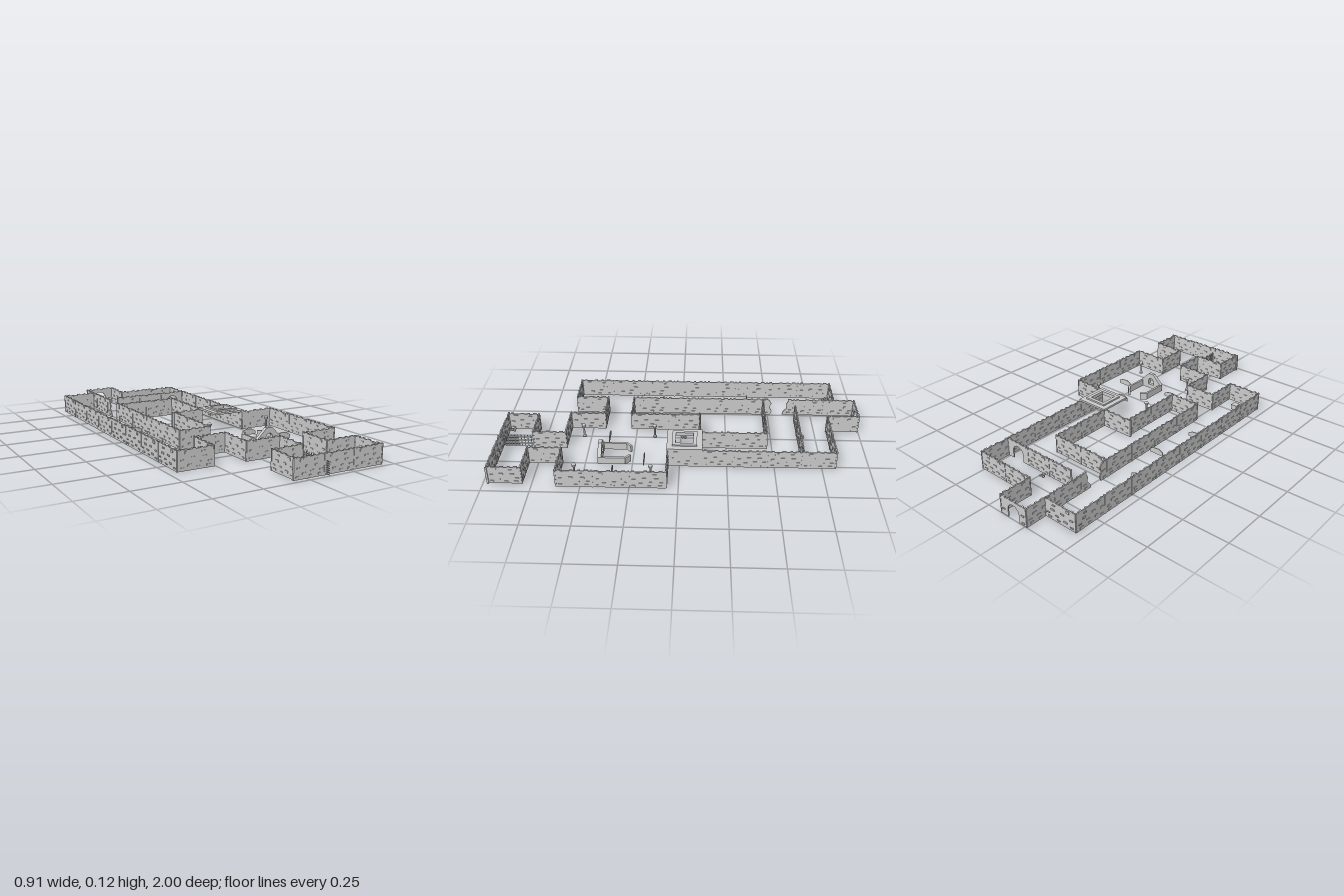
import * as THREE from 'three';

const mat = new THREE.MeshStandardMaterial({ color: 0xcccccc, flatShading: true, side: THREE.DoubleSide });
const H = 0.1, T = 0.006;

function add(parent, name, geo, x = 0, y = 0, z = 0, ry = 0) {
  const m = new THREE.Mesh(geo, mat);
  m.name = name;
  m.position.set(x, y, z);
  m.rotation.y = ry;
  parent.add(m);
  return m;
}
const box = (w, h, d) => new THREE.BoxGeometry(w, h, d);

// upright plate cut from a 2D shape, centred on its thickness
function plate(points, depth, hole) {
  const s = new THREE.Shape(points.map(p => new THREE.Vector2(...p)));
  if (hole) s.holes.push(hole);
  return new THREE.ExtrudeGeometry(s, { depth, bevelEnabled: false, curveSegments: 8 }).translate(0, 0, -depth / 2);
}

// raised bricks: position along the panel (fraction), height, width, brick height
const BRICKS = [
  [-0.26, 0.088, 0.02, 0.012], [-0.37, 0.052, 0.018, 0.008], [-0.08, 0.06, 0.02, 0.008],
  [0.24, 0.058, 0.022, 0.009], [0.1, 0.035, 0.02, 0.006], [-0.18, 0.026, 0.02, 0.009],
  [0.34, 0.014, 0.02, 0.009], [-0.38, 0.014, 0.018, 0.007], [0.38, 0.034, 0.018, 0.006],
  [0.05, 0.014, 0.018, 0.006], [0.2, 0.084, 0.018, 0.007]
];
const CAPS = [[-0.38, 0.012], [-0.05, 0.018], [0.16, 0.012], [0.36, 0.02]];

// one wall panel, running along its own x
function panel(len, kind) {
  const g = new THREE.Group();
  g.name = kind + 'WallPanel';
  const a = len / 2;
  if (kind === 'arch') {
    const r = 0.037;
    const pts = [[-a, 0], [-r, 0], [-r, 0.043]];
    for (let i = 1; i <= 10; i++) {
      const t = Math.PI * (1 - i / 10);
      pts.push([r * Math.cos(t), 0.043 + r * Math.sin(t)]);
    }
    pts.push([r, 0], [a, 0], [a, H], [-a, H]);
    add(g, 'archedWall', plate(pts, T));
  } else if (kind === 'broken') {
    add(g, 'brokenWall', plate([[-a, 0], [-0.045, 0], [-0.036, 0.025], [-0.05, 0.05], [-0.04, 0.075], [-0.055, H], [-a, H]], T));
    add(g, 'brokenWall', plate([[a, 0], [a, H], [0.06, H], [0.045, 0.07], [0.05, 0.045], [0.03, 0.02], [0.025, 0]], T));
  } else {
    add(g, 'wall', box(len, H, T), 0, H / 2);
  }
  for (const [u, y, w, h] of BRICKS)
    if (kind === 'plain' || Math.abs(u * len) > 0.058) add(g, 'brick', box(w, h, T + 0.006), u * len, y, 0);
  for (const [u, w] of CAPS)
    if (kind !== 'broken' || Math.abs(u * len) > 0.058) add(g, 'topStone', box(w, 0.008, T + 0.002), u * len, H + 0.001, 0);
  for (const s of [-1, 1]) add(g, 'seamPost', box(0.005, 0.104, T + 0.004), s * (a - 0.001), 0.052, 0);
  return g;
}

// straight run split into equal panels; special = {panelIndex: kind}
function run(parent, x1, z1, x2, z2, special = {}) {
  const L = Math.hypot(x2 - x1, z2 - z1), n = Math.max(1, Math.round(L / 0.176));
  for (let i = 0; i < n; i++) {
    const t = (i + 0.5) / n;
    const p = panel(L / n, special[i] || 'plain');
    p.position.set(x1 + (x2 - x1) * t, 0, z1 + (z2 - z1) * t);
    if (x1 === x2) p.rotation.y = Math.PI / 2;
    parent.add(p);
  }
}

export function createModel() {
  const model = new THREE.Group();
  model.name = 'dungeonWalls';
  const walls = new THREE.Group();
  walls.name = 'walls';
  model.add(walls);

  // long corridor
  run(walls, -0.452, -0.88, -0.452, 0.612);
  run(walls, -0.452, -0.88, -0.26, -0.88);
  run(walls, -0.452, 0.612, -0.26, 0.612);
  run(walls, -0.26, -0.995, -0.26, -0.65);
  run(walls, -0.26, -0.65, -0.26, -0.47, { 0: 'broken' });
  run(walls, -0.26, -0.47, -0.26, 0.28);
  run(walls, -0.26, 0.43, -0.26, 0.612);
  // back rooms
  run(walls, -0.26, -0.995, -0.09, -0.995, { 0: 'arch' });
  run(walls, -0.09, -0.995, -0.09, -0.82);
  run(walls, -0.09, -0.82, 0.26, -0.82);
  run(walls, -0.195, -0.65, 0.26, -0.65, { 2: 'arch' });
  run(walls, -0.26, -0.47, 0.09, -0.47);
  run(walls, 0.09, -0.47, 0.09, -0.105);
  run(walls, 0.26, -0.82, 0.26, 0.062);
  // main hall
  run(walls, -0.1, -0.105, 0.09, -0.105);
  run(walls, -0.085, -0.105, -0.085, 0.28);
  run(walls, -0.26, 0.28, -0.085, 0.28);
  run(walls, -0.26, 0.43, -0.085, 0.43);
  run(walls, -0.085, 0.43, -0.085, 0.622);
  run(walls, -0.085, 0.622, 0.11, 0.622);
  run(walls, 0.255, 0.622, 0.45, 0.622);
  run(walls, 0.45, 0.062, 0.45, 0.622);
  run(walls, 0.26, 0.062, 0.45, 0.062);
  // front room and its passage
  run(walls, 0.11, 0.622, 0.11, 0.8);
  run(walls, 0.255, 0.622, 0.255, 0.8);
  run(walls, -0.065, 0.8, 0.11, 0.8);
  run(walls, 0.255, 0.8, 0.432, 0.8);
  run(walls, -0.065, 0.8, -0.065, 0.973);
  run(walls, 0.432, 0.8, 0.432, 0.973);
  run(walls, -0.075, 0.973, 0.442, 0.973);

  // iron grate across the front room
  const grate = new THREE.Group();
  grate.name = 'grate';
  model.add(grate);
  for (let i = 0; i < 7; i++) add(grate, 'crossBar', box(0.003, 0.003, 0.19), 0.106, 0.006 + i * 0.01, 0.905);
  for (let i = 0; i < 9; i++) add(grate, 'uprightBar', box(0.003, 0.075, 0.003), 0.106, 0.0375, 0.815 + i * 0.018);

  // stepped ceiling frame with a square opening
  const frame = new THREE.Group();
  frame.name = 'ceilingFrame';
  frame.position.set(0.172, 0, -0.026);
  model.add(frame);
  const ring = (name, w, y, h) => {
    const o = w / 2, i = 0.047;
    const hole = new THREE.Path([[-i, -i], [-i, i], [i, i], [i, -i]].map(p => new THREE.Vector2(...p)));
    const g = plate([[-o, -o], [o, -o], [o, o], [-o, o]], h, hole).rotateX(-Math.PI / 2);
    add(frame, name, g, 0, y + h / 2, 0);
  };
  ring('ceilingSlab', 0.188, 0.1, 0.011);
  ring('ceilingCurb', 0.132, 0.111, 0.009);

  // gabled shrine with a bent low wall on each side
  const shrine = new THREE.Group();
  shrine.name = 'shrine';
  shrine.position.set(0.182, 0, 0);
  model.add(shrine);
  const arch = new THREE.Path();
  arch.moveTo(-0.02, 0.025);
  arch.lineTo(-0.02, 0.045);
  arch.absarc(0, 0.045, 0.02, Math.PI, 0, true);
  arch.lineTo(0.02, 0.025);
  arch.closePath();
  add(shrine, 'gable', plate([[-0.073, 0], [0.073, 0], [0.073, 0.04], [0.018, 0.095], [-0.018, 0.095], [-0.073, 0.04]], 0.02, arch), 0, 0, 0.424);
  for (const s of [-1, 1]) {
    add(shrine, 'sideWall', box(0.012, 0.04, 0.13), s * 0.067, 0.02, 0.353);
    add(shrine, 'bentWallEnd', box(0.012, 0.04, 0.04), s * 0.055, 0.02, 0.277, s * 0.8);
  }

  // standing braziers at the hall's corners
  const profile = [[0, 0], [0.011, 0], [0.011, 0.008], [0.005, 0.014], [0.005, 0.058], [0.012, 0.07], [0.012, 0.076], [0.006, 0.083], [0, 0.086]];
  const brazier = new THREE.LatheGeometry(profile.map(p => new THREE.Vector2(...p)), 10);
  for (const [x, z] of [[-0.005, 0.145], [0.365, 0.145], [0, 0.54], [0.365, 0.54]]) add(model, 'brazier', brazier, x, 0, z);

  // thin leaning-topped slabs standing on the floor
  const slab = plate([[-0.042, 0], [0.042, 0], [0.042, 0.018], [0.02, 0.03], [-0.015, 0.034], [-0.042, 0.022]], 0.004);
  for (const [x, z] of [[-0.39, -0.385], [-0.312, -0.145], [-0.37, 0.115], [0.22, 0.19], [0.335, 0.35], [0.015, 0.395]])
    add(model, 'standingSlab', slab, x, 0, z);

  // crates
  for (const [x, z] of [[-0.355, 0.53], [0.36, 0.885]]) {
    add(model, 'crate', box(0.032, 0.026, 0.032), x, 0.013, z);
    add(model, 'crateLid', box(0.036, 0.006, 0.036), x, 0.028, z);
  }

  // rubble heaps
  const stone = new THREE.DodecahedronGeometry(0.008);
  for (const [x, z] of [[-0.425, -0.855], [0.235, -0.795], [-0.02, -0.675], [0, -0.018], [-0.043, 0.95]])
    for (const [dx, dz] of [[-0.009, -0.006], [0.008, -0.007], [0.002, 0.009]])
      add(model, 'rubble', stone, x + dx, 0.0075, z + dz, dx * 90);

  return model;
}
